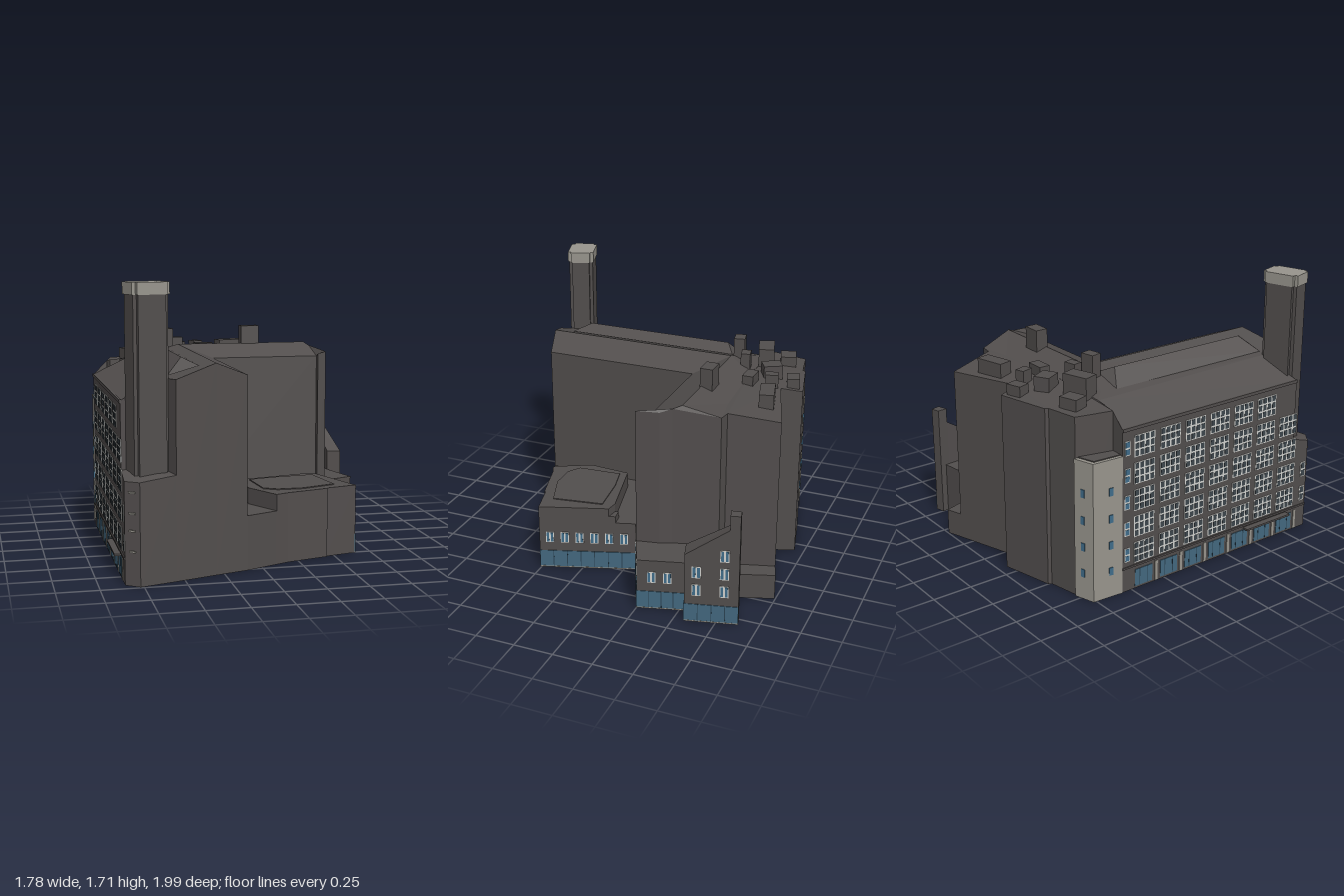
import * as THREE from 'three';

const mat = (name, color, side = THREE.FrontSide) => {
  const m = new THREE.MeshStandardMaterial({ color, side });
  m.name = name;
  return m;
};

export function createModel() {
  const model = new THREE.Group();
  model.name = 'cornerBuilding';
  const M = {
    wall: mat('darkWall', 0x524e4d, THREE.DoubleSide),
    pale: mat('paleStone', 0x98958d, THREE.DoubleSide),
    trim: mat('windowFrame', 0xd2d3cf),
    glass: mat('blueGlass', 0x3f6c8a),
    pane: mat('slatePane', 0x3c454c),
    shop: mat('shopGlass', 0x43687f),
    bar: mat('shopMullion', 0x2a4252),
  };

  const add = (name, geometry, material, parent = model) => {
    const mesh = new THREE.Mesh(geometry, material);
    mesh.name = name;
    parent.add(mesh);
    return mesh;
  };
  const fromTriangles = (tris) => {
    const g = new THREE.BufferGeometry();
    g.setAttribute('position', new THREE.Float32BufferAttribute(tris.flat(), 3));
    g.computeVertexNormals();
    return g;
  };
  const plan = (pts) => pts.map(([x, z]) => new THREE.Vector2(x, -z));
  // Surface over a ground outline of [x, z, y] points, facing up
  const capTriangles = (pts) => {
    const flat = plan(pts);
    return THREE.ShapeUtils.triangulateShape(flat, []).flatMap(([a, b, c]) => {
      const p = flat[a], q = flat[b], r = flat[c];
      const up = (q.x - p.x) * (r.y - p.y) - (q.y - p.y) * (r.x - p.x) > 0;
      return (up ? [a, b, c] : [a, c, b]).map((i) => [pts[i][0], pts[i][2], pts[i][1]]);
    });
  };
  // Outer walls; a fourth value is the foot of the wall leaving that point, JOIN leaves it out
  const JOIN = 9;
  const wallTriangles = (pts, y0) => {
    const flip = THREE.ShapeUtils.isClockWise(plan(pts));
    return pts.flatMap(([x, z, y, foot = y0], i) => {
      if (foot === JOIN) return [];
      const [u, w, v] = pts[(i + 1) % pts.length];
      const quad = [[x, foot, z], [u, foot, w], [u, v, w], [x, foot, z], [u, v, w], [x, y, z]];
      return flip ? quad.reverse() : quad;
    });
  };
  // Block with an open bottom; h fills in any missing heights
  const prism = (name, outline, h, y0 = 0, material = M.wall) => {
    const pts = outline.map(([x, z, y = h, foot = y0]) => [x, z, y, foot]);
    return add(name, fromTriangles([...wallTriangles(pts, y0), ...capTriangles(pts)]), material);
  };

  // Tall L-shaped building: walls, then sloping roof planes
  const A0 = [-0.85, 0.8, 1.04, 0.6], B0 = [-0.62, 0.72, 1.16, 0.6], C0 = [-0.55, 0.92, 1.165];
  const R0 = [-0.3, 0.835, 1.245], V0 = [-0.1, 0.77, 1.165, 0.33], V1 = [-0.1, -0.23, 1.165, 0.33];
  const P = [0.605, -0.23, 1.165, 0.33], P1 = [0.6, -0.175, 1.185, 0.33], P2 = [0.648, -0.157, 1.2, 0.33];
  const X1 = [0.62, -0.3, 1.2, 0.33], X2 = [0.59, -0.37, 1.225, 0.33], Q = [0.565, -0.42, 1.245];
  const S = [0.51, -0.645, 1.18, 0.165], S2 = [0.435, -0.655, 1.18, 0.165], T = [0.295, -0.61, 1.18];
  const back = [[0.345, -0.96, 1.135], [-0.12, -0.81, 1.15], [-0.165, -0.94, 1.13],
    [-0.5, -0.86, 1.13], [-0.51, -0.84, 1.13], [-0.71, -0.8, 1.13], [-0.76, -0.57, 1.13]];
  const A1 = [-0.85, -0.57, 1.04], B1 = [-0.62, -0.57, 1.15], C1 = [-0.55, -0.5, 1.17];
  const R1 = [-0.3, -0.42, 1.245], U = [-0.2, -0.58, 1.18];
  add('mainWalls', fromTriangles(wallTriangles(
    [A0, B0, C0, R0, V0, V1, P, P1, P2, X1, X2, S, S2, ...back, A1], 0)), M.wall);
  add('mainRoof', fromTriangles([
    [A0, B0, B1, A1], [B0, C0, C1, B1], [C0, R0, R1, C1], [R0, V0, V1, R1],
    [R1, V1, P, Q], [P, P1, P2, X1, X2, Q], [R1, Q, X2, S, S2, T, U], [C1, R1, U],
    [U, T, S2, ...back, B1, C1], [A1, B1, back[6]],
  ].flatMap(capTriangles)), M.wall);

  // Long hipped roof light along the left wing
  const n0 = [-0.57, 0.74, 1.168], n1 = [-0.38, 0.74, 1.222], n2 = [-0.47, 0.64, 1.265];
  const f0 = [-0.57, -0.4, 1.168], f1 = [-0.38, -0.4, 1.222], f2 = [-0.47, -0.34, 1.265];
  add('roofRidge', fromTriangles(
    [[n0, n2, f2, f0], [n2, n1, f1, f2], [n0, n1, n2], [f0, f2, f1]].flatMap(capTriangles)), M.wall);

  // Rooftop plant: x, z, width, depth, top, turn
  [[0.19, -0.45, 0.12, 0.08, 1.36, 0], [-0.48, -0.6, 0.17, 0.1, 1.28, 0.3],
    [-0.385, -0.45, 0.09, 0.07, 1.35, 0.2], [-0.3, -0.52, 0.08, 0.06, 1.285, 0.2],
    [-0.28, -0.7, 0.1, 0.12, 1.24, 0.5], [-0.09, -0.62, 0.12, 0.07, 1.235, 0],
    [-0.12, -0.75, 0.06, 0.08, 1.24, 0.3], [0.13, -0.8, 0.19, 0.09, 1.24, 0.25],
    [-0.58, -0.72, 0.12, 0.1, 1.2, 0.3], [-0.22, -0.86, 0.1, 0.08, 1.2, 0.3],
  ].forEach(([x, z, w, d, top, turn]) => {
    const box = add('rooftopPlant', new THREE.BoxGeometry(w, top - 1.1, d), M.wall);
    box.position.set(x, (top + 1.1) / 2, z);
    box.rotation.y = turn;
  });

  // Lower front corner with the chimney standing on it
  prism('frontCornerBlock', [[-0.85, 0.8, 0.64], [-0.85, 0.93, 0.6], [-0.77, 0.99, 0.6],
    [-0.55, 0.92, 0.62, JOIN], [-0.62, 0.72, 0.64, JOIN]]);
  const cross = (k) => {
    const a = 0.109 * k, b = 0.08 * k, c = 0.022;
    const quarter = [[a, b - c], [a - c, b - c], [a - c, b]];
    const all = [...quarter, ...[...quarter].reverse().map(([x, z]) => [-x, z])];
    return [...all, ...[...all].reverse().map(([x, z]) => [x, -z])].map(([x, z]) =>
      [-0.698 + x * 0.955 + z * 0.296, 0.81 - x * 0.296 + z * 0.955]);
  };
  prism('chimneyShaft', cross(1), 1.65, 0.58);
  prism('chimneyCap', cross(1.08), 1.71, 1.64, M.pale);

  // Pale stair tower at the back corner with a dark roof
  prism('stairTower', [[-0.71, -0.81], [-0.84, -0.77], [-0.853, -0.57, 0.88, JOIN], [-0.74, -0.57, 0.88, JOIN]],
    0.88, 0, M.pale);
  prism('stairTowerRoof', [[-0.71, -0.785], [-0.82, -0.75], [-0.832, -0.57], [-0.74, -0.57]], 0.886, 0.88);

  // Low courtyard and street annexes
  prism('courtyardBlock', [[-0.1, 0.77], [0.1, 0.68, 0.33, JOIN], [-0.02, 0.45, 0.33, JOIN], [0, 0.18, 0.33, JOIN],
    [0.43, 0.08, 0.33, JOIN], [0.493, 0.05], [0.455, -0.07], [0.648, -0.157, 0.33, JOIN],
    [0.605, -0.23, 0.33, JOIN], [-0.1, -0.23, 0.33, JOIN]], 0.33);
  prism('frontAnnex', [[-0.02, 0.45, 0.43, 0.33], [0.1, 0.68], [0.18, 0.645], [0.45, 0.57], [0.45, 0.56],
    [0.65, 0.51], [0.507, 0.09, 0.43, 0.33], [0.43, 0.08, 0.43, 0.33], [0, 0.18, 0.43, 0.33]], 0.43);
  prism('annexRoofPanel', [[0.04, 0.22], [0.06, 0.5], [0.14, 0.55], [0.3, 0.55], [0.52, 0.47],
    [0.47, 0.15], [0.2, 0.18]], 0.436, 0.43);
  prism('annexStep', [[0.507, 0.09], [0.493, 0.05, 0.375, 0.33], [0.42, 0.06, 0.375, 0.33],
    [0.43, 0.08, 0.375, JOIN]], 0.375);
  prism('sideAnnex', [[0.648, -0.157], [0.86, -0.25], [0.78, -0.535, 0.33, JOIN], [0.79, -0.83], [0.52, -0.79],
    [0.51, -0.645, 0.33, JOIN], [0.59, -0.37, 0.33, JOIN], [0.62, -0.3, 0.33, JOIN]], 0.33);
  prism('backTerrace', [[0.345, -0.96], [0.45, -0.995], [0.52, -0.79, 0.165, JOIN], [0.51, -0.645, 0.165, JOIN],
    [0.435, -0.655, 0.165, JOIN]], 0.165);
  prism('slopingGable', [[0.885, -0.565, 0.45], [0.82, -0.82, 0.63], [0.755, -0.8, 0.63], [0.78, -0.535, 0.46]]);
  prism('gableStack', [[0.82, -0.82], [0.805, -0.88], [0.745, -0.865], [0.755, -0.8]], 0.725);

  // Flat pieces set on a wall running a -> b, outward side on its left
  const onWall = (name, a, b, t, y) => {
    const g = new THREE.Group();
    g.name = name;
    g.position.set(a[0] + (b[0] - a[0]) * t, y, a[1] + (b[1] - a[1]) * t);
    g.rotation.y = Math.atan2(a[1] - b[1], b[0] - a[0]);
    model.add(g);
    return g;
  };
  const plate = (parent, name, w, h, d, material, x = 0, y = 0) =>
    add(name, new THREE.BoxGeometry(w, h, d), material, parent).position.set(x, y, 0);
  const window_ = (a, b, t, y, w, h, cols, rows, pane) => {
    const g = onWall('window', a, b, t, y);
    plate(g, 'frame', w, h, 0.006, M.trim);
    const cw = w / cols, ch = h / rows, gap = 0.011;
    for (let i = 0; i < cols; i++) for (let j = 0; j < rows; j++) {
      plate(g, 'pane', cw - gap, ch - gap, 0.009, pane, (i + 0.5) * cw - w / 2, (j + 0.5) * ch - h / 2);
    }
  };
  const shopfront = (a, b, bays) => {
    const len = Math.hypot(b[0] - a[0], b[1] - a[1]);
    const g = onWall('shopfront', a, b, 0.5, 0.062);
    plate(g, 'shopGlass', len, 0.115, 0.007, M.shop);
    plate(g, 'plinth', len, 0.008, 0.009, M.pale, 0, -0.058);
    for (let i = 1; i < bays; i++) plate(g, 'mullion', 0.005, 0.115, 0.009, M.bar, (i / bays - 0.5) * len);
  };

  // Street side of the annexes
  const s = [[0.65, 0.51], [0.455, -0.07], [0.86, -0.25], [0.78, -0.535], [0.885, -0.565], [0.805, -0.88]];
  [7, 6, 4, 2, 4].forEach((bays, i) => shopfront(s[i], s[i + 1], bays));
  for (let i = 0; i < 6; i++) window_(s[0], s[1], 0.11 + i * 0.154, 0.217, 0.052, 0.074, 2, 1, M.glass);
  for (const t of [0.2, 0.4, 0.6, 0.8]) window_(s[1], s[2], t, 0.217, 0.052, 0.074, 2, 1, M.glass);
  for (const t of [0.3, 0.63]) window_(s[2], s[3], t, 0.217, 0.052, 0.074, 2, 1, M.glass);
  for (const [t, y] of [[0.22, 0.217], [0.22, 0.337], [0.73, 0.217], [0.73, 0.337], [0.73, 0.457]]) {
    window_(s[4], s[5], t, y, 0.054, 0.077, 2, 1, M.glass);
  }

  // Long left facade: five floors of wide windows over shops
  const back0 = [-0.85, 0], front0 = [-0.85, 1];
  for (let c = 0; c < 7; c++) {
    const z = -0.41 + c * 0.192;
    for (let r = 0; r < 5; r++) {
      if (c === 6 && r > 3) continue;
      window_(back0, front0, z, 0.24 + r * 0.17, 0.15, 0.135, 4, 3, M.pane);
    }
    const g = onWall('streetBay', back0, front0, z, 0.07);
    plate(g, 'shopGlass', 0.13, 0.11, 0.008, M.shop);
    plate(g, 'mullion', 0.005, 0.11, 0.0095, M.bar, -0.03);
    plate(g, 'mullion', 0.005, 0.11, 0.0095, M.bar, 0.03);
    plate(g, 'pier', 0.02, 0.13, 0.009, M.pale, 0.096);
  }
  for (let r = 0; r < 5; r++) {
    window_(back0, front0, -0.535, 0.24 + r * 0.17, 0.04, 0.09, 1, 2, M.glass);
    if (r < 2) window_(back0, front0, 0.895, 0.24 + r * 0.17, 0.04, 0.1, 1, 2, M.pane);
  }
  const ledge = (name, y, z0, z1, h, w, x = -0.85) =>
    add(name, new THREE.BoxGeometry(w, h, z1 - z0), M.wall).position.set(x, y, (z0 + z1) / 2);
  ledge('cornice', 1.035, -0.57, 0.8, 0.02, 0.014);
  ledge('floorBand', 0.155, -0.57, 0.93, 0.012, 0.014);
  ledge('entranceCanopy', 0.135, 0.39, 0.76, 0.012, 0.04, -0.87);

  // Small sills on the cut front corner, and slit windows on the stair tower
  for (const y of [0.2, 0.32, 0.42, 0.54]) {
    plate(onWall('cornerSill', [-0.85, 0.93], [-0.77, 0.99], 0.5, y), 'sill', 0.04, 0.01, 0.018, M.pale);
  }
  for (let r = 0; r < 4; r++) {
    for (const [a, b, t] of [[[-0.71, -0.81], [-0.84, -0.77], 0.45], [[-0.84, -0.77], [-0.853, -0.57], 0.6]]) {
      plate(onWall('towerWindow', a, b, t, 0.17 + r * 0.17), 'pane', 0.025, 0.05, 0.009, M.glass);
    }
  }
  return model;
}
